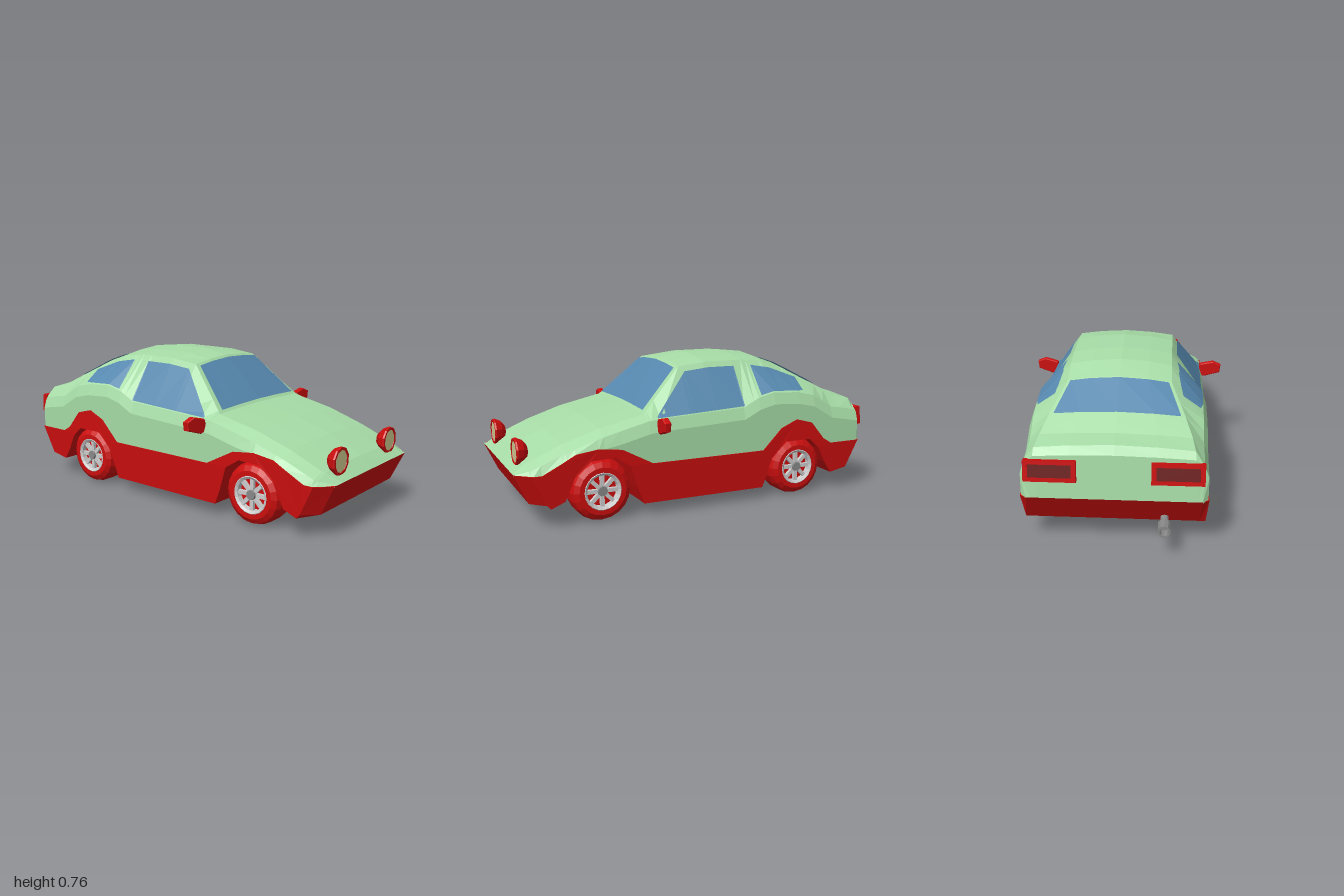
import * as THREE from 'three';

const mat = (color, side = THREE.FrontSide) => new THREE.MeshStandardMaterial({ color, flatShading: true, side });
const GREEN = mat(0xa6dba6, THREE.DoubleSide), RED = mat(0xcc0e0e), GLASS = mat(0x5688ae, THREE.DoubleSide);
const GREY = mat(0xcccccc), DARK = mat(0x888888), LENS = mat(0xccc78f), TAIL = mat(0x6e2222);

// Outlines along the car, as [z, value] from front to back
const TOP = [[1, .27], [.935, .325], [.76, .405], [.57, .465], [.335, .512], [.105, .74], [-.045, .765], [-.26, .765],
  [-.395, .75], [-.515, .705], [-.69, .6], [-.8, .537], [-.89, .52], [-.915, .48], [-.94, .27]];
const EDGE = [[1, .27], [.935, .315], [.76, .39], [.57, .452], [.335, .503], [.105, .718], [-.045, .735], [-.26, .735],
  [-.395, .72], [-.515, .68], [-.69, .583], [-.8, .522], [-.89, .5], [-.915, .468], [-.94, .27]];
const WAIST = [[1, .27], [.935, .29], [.76, .36], [.57, .42], [.335, .478], [.27, .485], [-.2, .505], [-.29, .55],
  [-.38, .572], [-.53, .563], [-.63, .54], [-.745, .47], [-.915, .44], [-.94, .27]];
const EDGE_X = [[1, .34], [.335, .34], [.105, .25], [-.515, .25], [-.69, .315], [-.8, .35], [-.94, .37]];
const WIDTH = [[1, .84], [.92, 1], [-.915, 1], [-.94, .94]];
const SEAM = [[1, .27], [.88, .27], [.78, .32], [.715, .355], [.6, .37], [.48, .355], [.32, .27], [-.31, .27],
  [-.42, .38], [-.515, .42], [-.61, .395], [-.69, .3], [-.74, .27], [-.94, .27]];
const UNDER = [[-.85, .12], [-.75, .1], [-.705, .165], [-.66, .25], [-.6, .305], [-.45, .305], [-.365, .22], [-.315, .065],
  [.365, .065], [.4, .15], [.44, .27], [.52, .32], [.64, .315], [.715, .26], [.77, .13], [.84, .1], [.93, .12]];

function at(table, z) {
  for (let i = 1; i < table.length; i++) {
    const [z0, a] = table[i - 1], [z1, b] = table[i];
    if (z >= z1) return a + (b - a) * Math.min(1, Math.max(0, (z0 - z) / (z0 - z1)));
  }
  return table[table.length - 1][1];
}

// Every z key of the given tables between two limits, front to back
function stations(tables, front, back) {
  const zs = tables.flat().map(p => p[0]).filter(z => z < front && z > back);
  return [...new Set([front, ...zs, back])].sort((a, b) => b - a);
}

// Surface through rows of [x, y, z] points
function grid(rows) {
  const n = rows[0].length, index = [];
  for (let r = 0; r < rows.length - 1; r++) for (let c = 0; c < n - 1; c++) {
    const a = r * n + c, d = a + n;
    index.push(a, a + 1, d, a + 1, d + 1, d);
  }
  const g = new THREE.BufferGeometry();
  g.setAttribute('position', new THREE.Float32BufferAttribute(rows.flat(2), 3));
  g.setIndex(index);
  g.computeVertexNormals();
  return g;
}

function add(parent, name, geometry, material, x = 0, y = 0, z = 0) {
  const m = new THREE.Mesh(geometry, material);
  m.name = name;
  m.position.set(x, y, z);
  parent.add(m);
  return m;
}

// Right-hand half of the body section, from centre top to the red seam
function halfSection(z) {
  const seam = at(SEAM, z), w = at(WIDTH, z), ex = at(EDGE_X, z), top = at(TOP, z), edge = at(EDGE, z);
  const waist = Math.max(seam, at(WAIST, z)), belt = Math.max(seam, waist - .06);
  return [[0, top], [ex * .55, top - (top - edge) * .35], [ex, edge], [.405, waist], [.426, belt], [.426, seam - .005]]
    .map(([x, y]) => [x * w, y, z]);
}

function upperBody() {
  const rows = stations([TOP, EDGE, WAIST, SEAM, WIDTH, EDGE_X], 1, -.94).map(z => {
    const half = halfSection(z);
    return [...half.slice(1).reverse().map(([x, y]) => [-x, y, z]), ...half];
  });
  return grid(rows);
}

// Red lower body: side profile pushed across the car, corners drawn in
function lowerBody() {
  const outline = [...SEAM, ...UNDER].map(([z, y]) => new THREE.Vector2(-z, y));
  const g = new THREE.ExtrudeGeometry(new THREE.Shape(outline), { depth: 4, steps: 4, bevelEnabled: false });
  const p = g.attributes.position;
  for (let i = 0; i < p.count; i++) {
    const step = Math.round(p.getZ(i)) - 2, y = p.getY(i);
    let z = -p.getX(i), x = [0, z > 0 ? .36 : .4, .43][Math.abs(step)] * Math.sign(step);
    if (Math.abs(step) === 2) {
      if (z > .9) z -= .07;
      if (z < -.9) z += .02;
    }
    if (y < .27) x *= 1 - (.27 - y) * .15;
    p.setXYZ(i, x, y < .07 && step === 0 ? y - .013 : y, z);
  }
  g.computeVertexNormals();
  return g;
}

// Glass laid across the car between two stations
function screen(front, back) {
  return grid(stations([TOP, EDGE, EDGE_X], front, back).map(z => {
    const [a, b, c] = halfSection(z);
    const f = .85, d = [b[0] + (c[0] - b[0]) * f, b[1] + (c[1] - b[1]) * f, z];
    return [[-d[0], d[1], z], [-b[0], b[1], z], a, b, d].map(([x, y]) => [x, y + .006, z + (front > 0 ? .005 : -.004)]);
  }));
}

// Glass laid on the sloping side, between a lower and an upper line
function sideWindow(low, high, side) {
  const zs = stations([low, high, WAIST, EDGE, EDGE_X], low[0][0], low[low.length - 1][0]);
  return grid(zs.map(z => [at(low, z), at(high, z)].map(y => {
    const e = at(EDGE, z), s = at(WAIST, z), t = (y - s) / (e - s);
    return [side * (.405 + (at(EDGE_X, z) - .405) * t + .006), y + .003, z];
  })));
}

function wheel(side) {
  const g = new THREE.Group();
  g.name = 'wheel';
  const ring = pts => new THREE.LatheGeometry(pts.map(([r, h]) => new THREE.Vector2(r, h)), 20).rotateZ(-Math.PI / 2);
  add(g, 'tyre', ring([[0, -.08], [.11, -.08], [.14, -.07], [.155, -.045], [.155, .035], [.145, .062], [.12, .078],
    [.095, .078], [.088, .045], [0, .045]]), RED);
  add(g, 'rim', ring([[.088, .04], [.098, .076], [.092, .08], [.08, .072], [.078, .045]]), GREY);
  add(g, 'hub', new THREE.CylinderGeometry(.024, .03, .035, 10).rotateZ(-Math.PI / 2), DARK, .06);
  for (let i = 0; i < 8; i++) {
    const spoke = new THREE.BoxGeometry(.018, .066, .02).translate(.058, .052, 0).rotateX(i * Math.PI / 4);
    add(g, 'spoke', spoke, GREY);
  }
  if (side < 0) g.rotation.y = Math.PI;
  return g;
}

function headlight() {
  const g = new THREE.Group();
  g.name = 'headlight';
  const pod = [[.001, -.06], [.03, -.053], [.055, -.032], [.07, 0], [.068, .008], [.055, .008], [.054, 0]];
  add(g, 'headlightPod', new THREE.LatheGeometry(pod.map(p => new THREE.Vector2(...p)), 10).rotateX(Math.PI / 2), RED);
  add(g, 'headlightLens', new THREE.CylinderGeometry(.056, .056, .01, 10).rotateX(Math.PI / 2), LENS);
  return g;
}

function rearLight() {
  const g = new THREE.Group();
  g.name = 'rearLight';
  const rect = (w, h, C) => new C([[-w, -h], [w, -h], [w, h], [-w, h]].map(p => new THREE.Vector2(...p)));
  const frame = rect(.12, .05, THREE.Shape);
  frame.holes.push(rect(.098, .032, THREE.Path));
  add(g, 'rearLightFrame', new THREE.ExtrudeGeometry(frame, { depth: .03, bevelEnabled: false }), RED, 0, 0, -.015);
  add(g, 'rearLightLens', new THREE.BoxGeometry(.2, .068, .02), TAIL);
  g.rotation.x = .12;
  return g;
}

function mirror() {
  const pts = [[.4, .43], [.44, .42], [.525, .447], [.53, .485], [.49, .502], [.42, .485]];
  const g = new THREE.ExtrudeGeometry(new THREE.Shape(pts.map(p => new THREE.Vector2(...p))),
    { depth: .022, bevelSize: .004, bevelThickness: .006, bevelSegments: 1 });
  const p = g.attributes.position;
  for (let i = 0; i < p.count; i++) p.setZ(i, p.getZ(i) + .262 + (p.getX(i) - .4) * .1);
  return g;
}

export function createModel() {
  const car = new THREE.Group();
  car.name = 'car';
  add(car, 'upperBody', upperBody(), GREEN);
  add(car, 'lowerBody', lowerBody(), RED);
  add(car, 'windscreen', screen(.325, .12), GLASS);
  add(car, 'rearWindow', screen(-.525, -.7), GLASS);

  for (const side of [1, -1]) {
    add(car, 'doorWindow', sideWindow([[.285, .487], [-.205, .51]],
      [[.285, .492], [.08, .692], [-.05, .705], [-.205, .705]], side), GLASS);
    add(car, 'quarterWindow', sideWindow([[-.305, .56], [-.38, .577], [-.57, .567]],
      [[-.305, .705], [-.42, .685], [-.57, .628]], side), GLASS);

    for (const z of [.58, -.53]) {
      const w = wheel(side);
      w.position.set(side * .34, .155, z);
      car.add(w);
    }
    const lamp = headlight();
    lamp.position.set(side * .245, .355, .96);
    car.add(lamp);
    const rear = rearLight();
    rear.position.set(side * .288, .405, -.93);
    car.add(rear);
  }

  // Door mirrors
  const left = mirror(), right = left.clone().rotateY(Math.PI);
  add(car, 'mirror', left, RED);
  add(car, 'mirror', right, RED, 0, 0, .56);

  // Exhaust: slanted pipe and hollow tip
  const pipe = new THREE.CylinderGeometry(.02, .02, .1, 10).rotateX(Math.PI / 2 - .2);
  add(car, 'exhaustPipe', pipe, DARK, -.23, .14, -.89);
  const tip = [[.001, 0], [.03, 0], [.03, .065], [.022, .065], [.02, .02], [.001, .02]].map(p => new THREE.Vector2(...p));
  add(car, 'exhaustTip', new THREE.LatheGeometry(tip, 10).rotateX(-Math.PI / 2), DARK, -.23, .148, -.935);
  return car;
}
